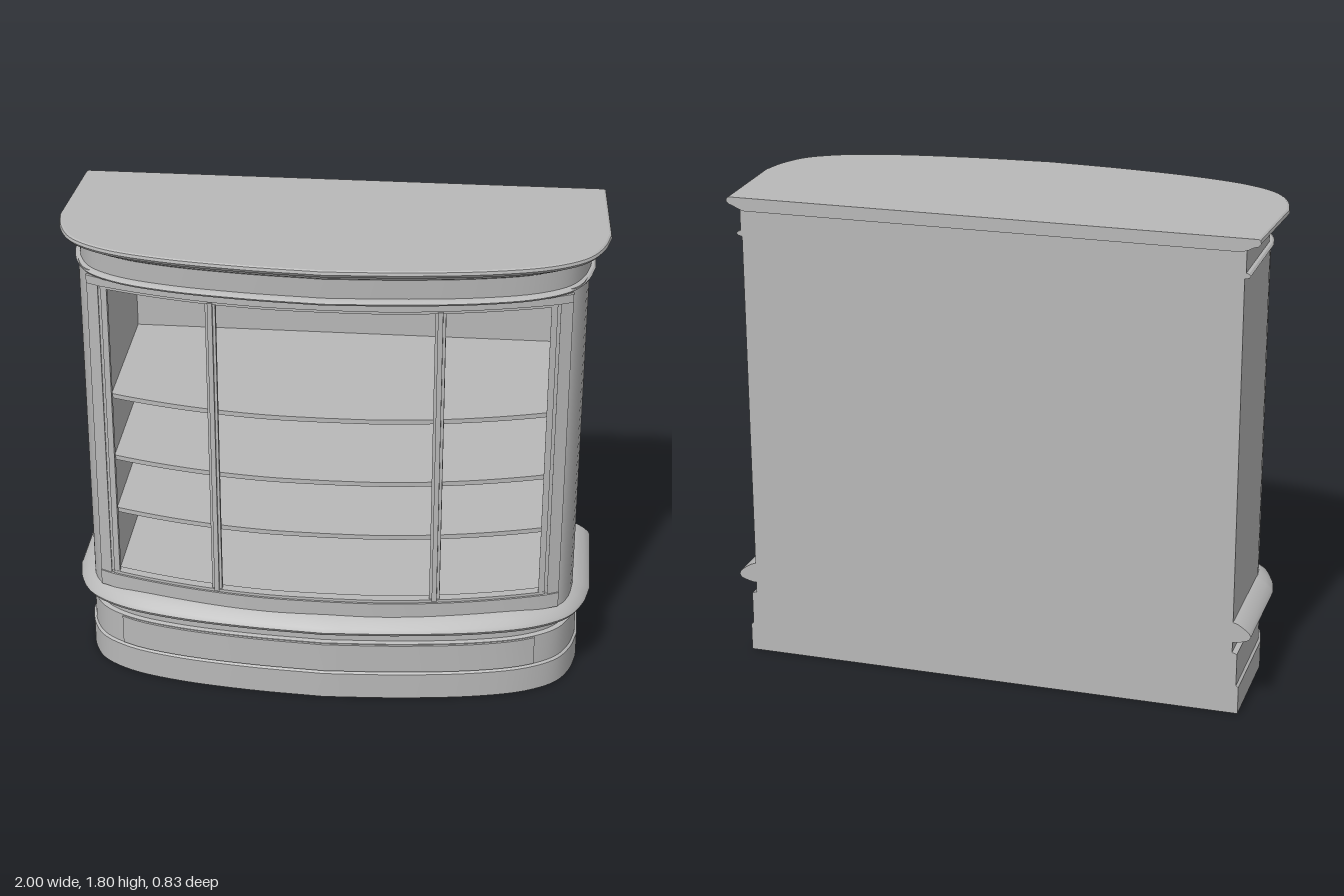
import * as THREE from 'three';
import { toCreasedNormals } from 'three/addons/utils/BufferGeometryUtils.js';

const BACK = -0.41;

// Right half of a bow-front plan, from the front centre round to the side, as [x, z]
const smooth = (pts) => new THREE.CatmullRomCurve3(pts.map(([x, z]) => new THREE.Vector3(x, 0, z)))
  .getPoints(28).map((p) => [p.x, p.z]);
const mouldPlan = smooth([[0, 0.415], [0.3, 0.395], [0.6, 0.352], [0.8, 0.292], [0.92, 0.21], [0.975, 0.11], [1, 0]]);
const bodyPlan = smooth([[0, 0.345], [0.2, 0.34], [0.4, 0.318], [0.6, 0.28], [0.8, 0.225], [0.872, 0.195], [0.91, 0.13], [0.925, 0.04]]);

// Plan scaled to a half width and front depth
const scaled = (plan, w, f) => plan.map(([x, z]) => [x * w, z * f / 0.415]);

// Depth of the front curve at a given x
function frontZ(plan, x) {
  const a = Math.abs(x);
  for (let i = 1; i < plan.length; i++) {
    const [x0, z0] = plan[i - 1], [x1, z1] = plan[i];
    if (a <= x1) return z0 + (z1 - z0) * (a - x0) / (x1 - x0);
  }
  return plan[plan.length - 1][1];
}

// Upright extrusion of a plan polygon given as [x, z]
function extrudePlan(points, y0, y1) {
  const shape = new THREE.Shape(points.map(([x, z]) => new THREE.Vector2(x, -z)));
  const g = new THREE.ExtrudeGeometry(shape, { depth: y1 - y0, bevelEnabled: false });
  g.rotateX(-Math.PI / 2).translate(0, y0, 0);
  return toCreasedNormals(g, 0.45);
}

// Strip that follows the bowed front; inner may be an offset or a flat z
function bowStrip(plan, x0, x1, y0, y1, outer, inner, flatBack) {
  const n = Math.max(1, Math.ceil((x1 - x0) / 0.05));
  const front = [], rear = [];
  for (let i = 0; i <= n; i++) {
    const x = x0 + (x1 - x0) * i / n, z = frontZ(plan, x);
    front.push([x, z + outer]);
    if (flatBack === undefined) rear.unshift([x, z + inner]);
  }
  if (flatBack !== undefined) rear.push([x1, flatBack], [x0, flatBack]);
  return extrudePlan([...front, ...rear], y0, y1);
}

// Solid moulding through levels [y, halfWidth, frontDepth]
function loft(levels, backRatio = 1, back = BACK) {
  const rings = levels.map(([y, w, f]) => {
    const half = scaled(mouldPlan, w, f);
    half.push([w * backRatio, back]);
    const left = half.slice(1).reverse().map(([x, z]) => [-x, z]);
    return [...left, ...half].map(([x, z]) => [x, y, z]);
  });
  const pos = [], n = rings[0].length;
  for (let k = 0; k + 1 < rings.length; k++) {
    for (let i = 0; i < n; i++) {
      const j = (i + 1) % n, a = rings[k], b = rings[k + 1];
      pos.push(...a[i], ...a[j], ...b[j], ...a[i], ...b[j], ...b[i]);
    }
  }
  const low = rings[0], high = rings[rings.length - 1];
  for (let i = 0; i < n; i++) {
    const j = (i + 1) % n;
    pos.push(0, low[0][1], 0, ...low[j], ...low[i]);
    pos.push(0, high[0][1], 0, ...high[i], ...high[j]);
  }
  const g = new THREE.BufferGeometry();
  g.setAttribute('position', new THREE.Float32BufferAttribute(pos, 3));
  return toCreasedNormals(g, 0.5);
}

export function createModel() {
  const cabinet = new THREE.Group();
  cabinet.name = 'displayCabinet';
  const grey = new THREE.MeshStandardMaterial({ color: 0xb8b8b8 });
  grey.name = 'plainGrey';
  const add = (name, geometry) => {
    const mesh = new THREE.Mesh(geometry, grey);
    mesh.name = name;
    cabinet.add(mesh);
  };

  // Base: plinth, drawer band and neck
  add('plinth', loft([[0, 0.952, 0.376], [0.105, 0.952, 0.376], [0.112, 0.943, 0.366]]));
  add('drawerBand', loft([[0.112, 0.943, 0.366], [0.237, 0.943, 0.366], [0.243, 0.925, 0.352]]));
  add('neck', loft([[0.243, 0.925, 0.352], [0.285, 0.925, 0.352]]));
  add('drawerFront', bowStrip(scaled(mouldPlan, 0.943, 0.366), -0.79, 0.79, 0.117, 0.234, 0.009, -0.01));

  // Rounded waist moulding
  add('waistMoulding', loft([
    [0.283, 0.935, 0.36], [0.29, 0.965, 0.385], [0.298, 0.985, 0.405], [0.312, 0.992, 0.415],
    [0.326, 0.985, 0.406], [0.342, 0.965, 0.385], [0.355, 0.945, 0.368], [0.364, 0.92, 0.35],
  ]));

  // Carcass: side walls with rounded front posts, back panel, floor and ceiling
  const corner = bodyPlan.filter(([x]) => x > 0.8);
  const wall = [[0.8, frontZ(bodyPlan, 0.8)], ...corner, [0.925, BACK], [0.8, BACK]];
  add('leftWall', extrudePlan(wall, 0.35, 1.67));
  add('rightWall', extrudePlan(wall.map(([x, z]) => [-x, z]), 0.35, 1.67));
  add('backPanel', new THREE.BoxGeometry(1.62, 1.32, 0.02).translate(0, 1.01, BACK + 0.01));
  add('floor', bowStrip(bodyPlan, -0.8, 0.8, 0.35, 0.42, 0, 0, BACK + 0.01));
  add('ceiling', bowStrip(bodyPlan, -0.8, 0.8, 1.615, 1.67, 0, 0, BACK + 0.01));

  // Bowed front frame with raised rails, stiles and inner beads
  add('bottomRail', bowStrip(bodyPlan, -0.872, 0.872, 0.355, 0.415, 0.014, -0.01));
  add('topRail', bowStrip(bodyPlan, -0.872, 0.872, 1.62, 1.652, 0.014, -0.01));
  add('bottomBead', bowStrip(bodyPlan, -0.82, 0.82, 0.415, 0.426, 0.006, -0.03));
  add('topBead', bowStrip(bodyPlan, -0.82, 0.82, 1.608, 1.62, 0.006, -0.03));
  for (const s of [-1, 1]) {
    const side = s > 0 ? 'left' : 'right';
    const span = (a, b) => (s > 0 ? [a, b] : [-b, -a]);
    add(side + 'Stile', bowStrip(bodyPlan, ...span(0.828, 0.872), 0.415, 1.62, 0.008, -0.01));
    add(side + 'Bead', bowStrip(bodyPlan, ...span(0.795, 0.818), 0.42, 1.615, 0.005, -0.02));
    add(side + 'Mullion', bowStrip(bodyPlan, ...span(0.39, 0.428), 0.42, 1.615, 0, -0.02));
    add(side + 'MullionBead', bowStrip(bodyPlan, ...span(0.4, 0.418), 0.42, 1.615, 0.012, -0.005));
  }

  // Shelves with bowed fronts
  for (const y of [0.68, 0.905, 1.163]) {
    add('shelf', bowStrip(bodyPlan, -0.8, 0.8, y - 0.009, y + 0.009, -0.026, 0, BACK + 0.01));
  }

  // Cornice: lower bead, frieze and top slab
  add('corniceBead', loft([
    [1.65, 0.92, 0.365], [1.655, 0.942, 0.392], [1.663, 0.947, 0.398], [1.67, 0.94, 0.388], [1.674, 0.925, 0.374],
  ]));
  add('frieze', loft([[1.67, 0.93, 0.372], [1.755, 0.93, 0.376]]));
  add('topSlab', loft([
    [1.748, 0.932, 0.376], [1.756, 0.955, 0.388], [1.766, 0.975, 0.395], [1.77, 0.99, 0.408],
    [1.782, 1, 0.417], [1.793, 0.997, 0.414], [1.797, 0.99, 0.408],
  ], 0.98, -0.417));

  return cabinet;
}
